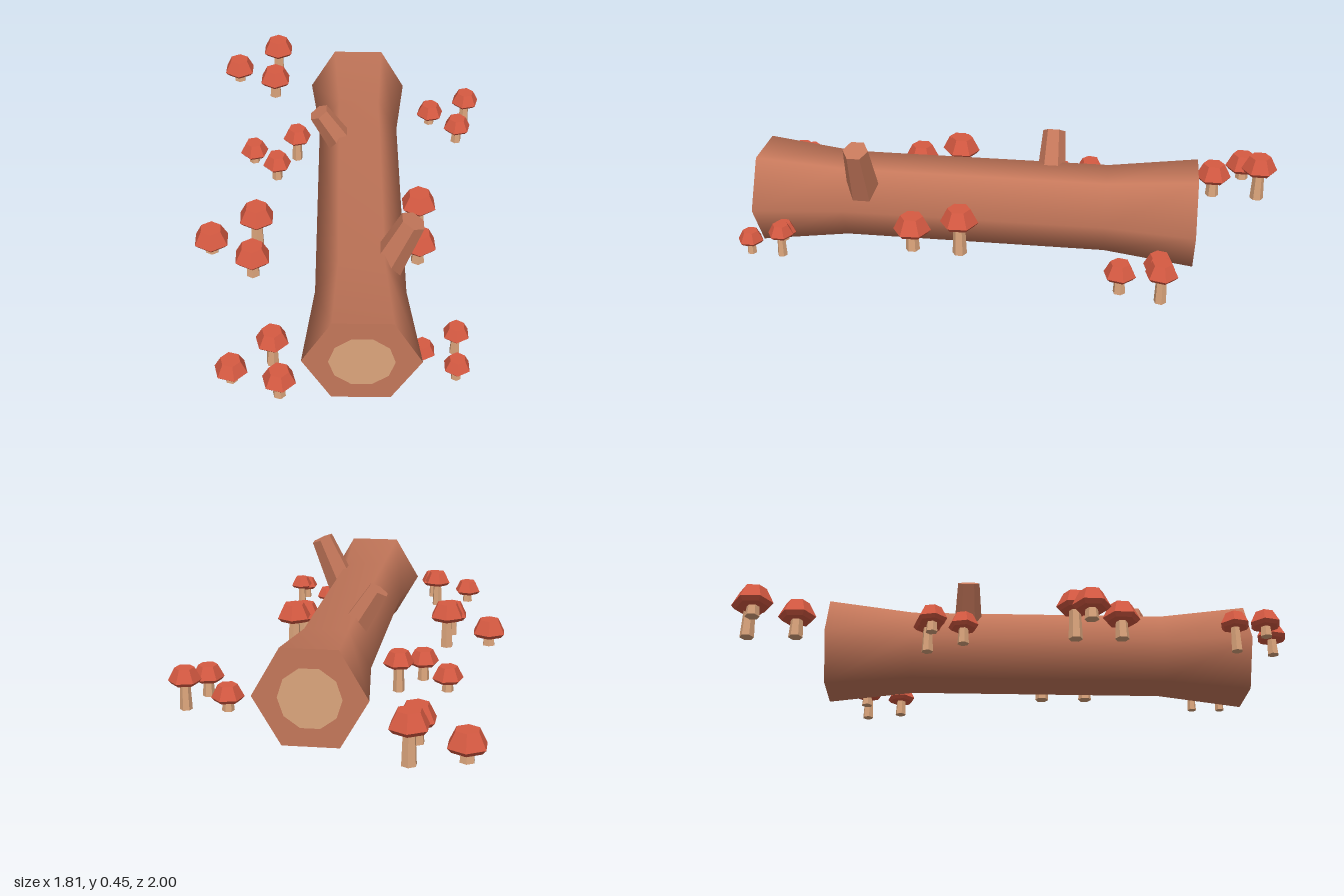
import * as THREE from 'three';

const bark = new THREE.MeshStandardMaterial({ name: 'bark', color: 0xc4775a });
const wood = new THREE.MeshStandardMaterial({ name: 'paleWood', color: 0xdca57c });
const red = new THREE.MeshStandardMaterial({ name: 'capRed', color: 0xd65a42 });

function mesh(name, geometry, material) {
  const m = new THREE.Mesh(geometry, material);
  m.name = name;
  return m;
}

// Faceted normals for low-poly parts
function faceted(geometry) {
  const g = geometry.toNonIndexed();
  g.computeVertexNormals();
  return g;
}

// Hexagonal tapered stub between two points
function stub(name, from, to, rBase, rTop) {
  const a = new THREE.Vector3(...from), b = new THREE.Vector3(...to);
  const dir = b.clone().sub(a);
  const m = mesh(name, faceted(new THREE.CylinderGeometry(rTop, rBase, dir.length(), 6)), bark);
  m.position.copy(a).add(b).multiplyScalar(0.5);
  m.quaternion.setFromUnitVectors(new THREE.Vector3(0, 1, 0), dir.normalize());
  return m;
}

// Fallen log, modelled along local z with flared ends
function createLog() {
  const log = new THREE.Group();
  log.name = 'log';
  const half = 0.82, waist = 0.49, axisY = 0.175;
  const profile = [[0.2, -half], [0.16, -waist], [0.16, waist], [0.2, half]];
  const trunk = new THREE.LatheGeometry(profile.map(p => new THREE.Vector2(...p)), 6);
  trunk.rotateY(Math.PI / 2).rotateX(Math.PI / 2).translate(0, axisY, 0);
  log.add(mesh('trunk', trunk, bark));

  // End faces with pale heartwood
  for (const side of [1, -1]) {
    const turn = side > 0 ? 0 : Math.PI;
    const end = new THREE.CircleGeometry(0.2, 6).rotateY(turn).translate(0, axisY, side * half);
    const heart = new THREE.CircleGeometry(0.111, 10).rotateY(turn).translate(0, axisY, side * (half + 0.003));
    log.add(mesh('logEnd', end, bark), mesh('heartwood', heart, wood));
  }

  // Broken branches
  log.add(stub('frontBranch', [-0.073, 0.2, -0.415], [-0.175, 0.437, -0.415], 0.066, 0.047));
  log.add(stub('backBranch', [0.03, 0.2, 0.275], [0.16, 0.407, 0.275], 0.06, 0.042));

  log.rotation.y = Math.PI * 0.75;
  log.position.set(0.028, 0, 0.169);
  return log;
}

// Mushroom with a hexagonal domed cap
function createMushroom(x, z, r, top, turn) {
  const g = new THREE.Group();
  g.name = 'mushroom';
  const ground = 0.07, capBase = top - r;
  const stemH = capBase - ground + r * 0.2;
  const stem = mesh('stem', faceted(new THREE.CylinderGeometry(r * 0.3, r * 0.38, stemH, 6)), wood);
  stem.position.y = ground + stemH / 2;
  const profile = [[0, 0], [0.8, 0], [1, 0.22], [0.6, 1], [0, 1]]
    .map(([px, py]) => new THREE.Vector2(px * r, py * r));
  const cap = mesh('cap', faceted(new THREE.LatheGeometry(profile, 6)), red);
  cap.position.y = capBase;
  g.add(stem, cap);
  g.position.set(x, 0, z);
  g.rotation.y = turn;
  return g;
}

// Clusters: radius, turn, then x, z and top height of each mushroom
const clusters = [
  [0.047, 0.25, [[-0.32, 0.81, 0.14], [-0.22, 0.87, 0.195], [-0.305, 0.95, 0.16]]],
  [0.07, 0.3, [[0.165, 0.35, 0.253], [0.035, 0.47, 0.207]]],
  [0.058, 0, [[0.74, -0.1, 0.165], [0.85, 0, 0.223], [0.72, 0.07, 0.187]]],
  [0.07, 0.25, [[0.375, -0.935, 0.178], [0.535, -0.845, 0.253], [0.405, -0.725, 0.207]]],
  [0.058, 0, [[0.01, -0.42, 0.165], [0.15, -0.31, 0.223], [0, -0.27, 0.187]]],
  [0.07, 0.3, [[-0.48, -0.11, 0.178], [-0.33, -0.02, 0.253], [-0.455, 0.095, 0.207]]],
  [0.058, 0.52, [[-0.85, 0.435, 0.165], [-0.7, 0.475, 0.223], [-0.78, 0.595, 0.187]]],
];

export function createModel() {
  const model = new THREE.Group();
  model.name = 'logWithMushrooms';
  model.add(createLog());
  for (const [r, turn, spots] of clusters) {
    const cluster = new THREE.Group();
    cluster.name = 'mushroomCluster';
    for (const [x, z, top] of spots) cluster.add(createMushroom(x, z, r, top, turn));
    model.add(cluster);
  }
  return model;
}
